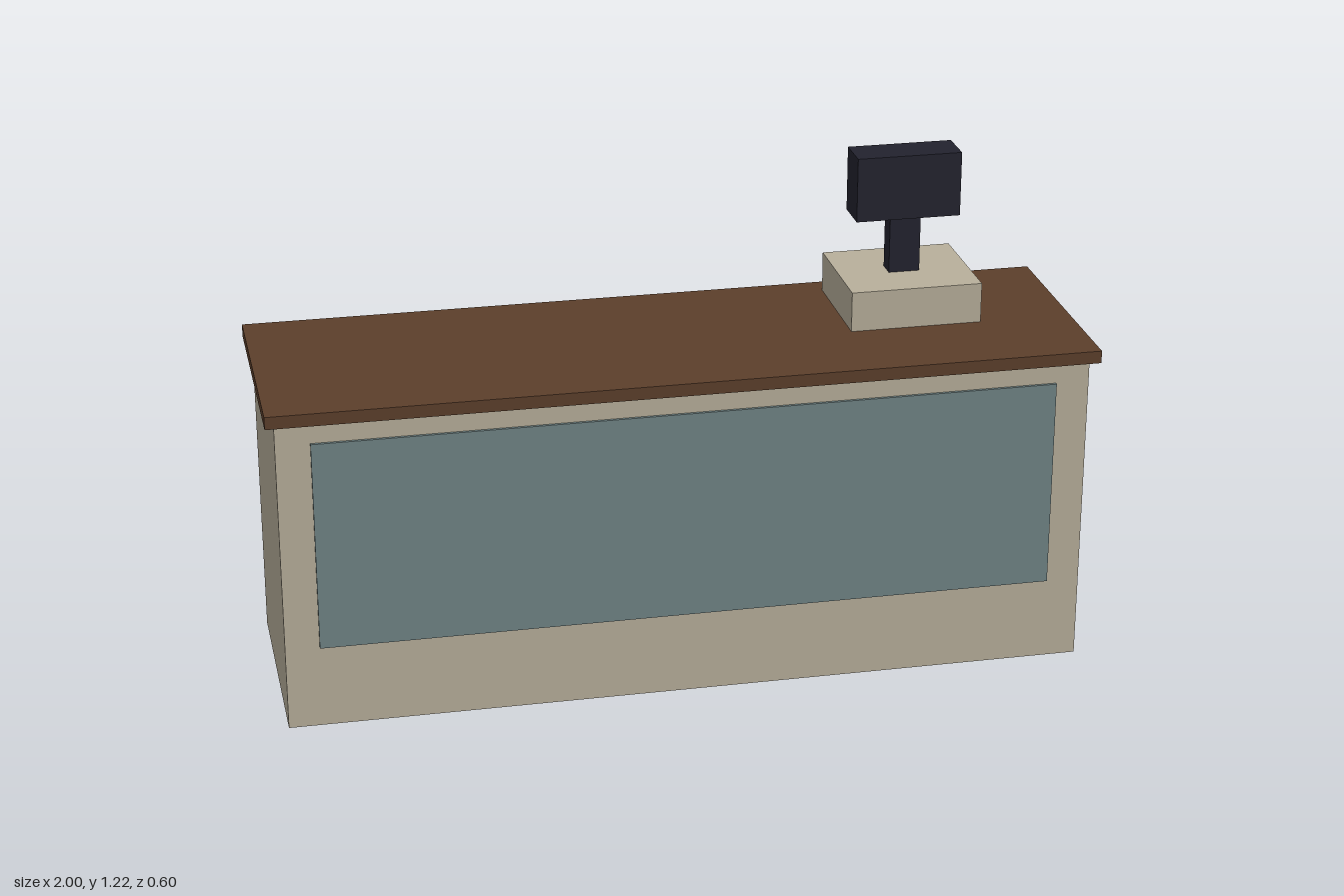
import * as THREE from 'three';

const mat = (name, color) => {
  const m = new THREE.MeshStandardMaterial({ color });
  m.name = name;
  return m;
};

export function createModel() {
  const cream = mat('cream', 0xb8af9b);
  const brown = mat('brown wood', 0x5c3f2b);
  const glass = mat('grey blue', 0x708486);
  const navy = mat('navy black', 0x22222e);
  const screenBlue = mat('screen blue', 0x50627a);
  const gold = mat('gold', 0xb08a3c);

  const root = new THREE.Group();
  root.name = 'shopCounter';

  // Box given by its lower and upper corners
  const box = (parent, name, material, [x0, y0, z0], [x1, y1, z1]) => {
    const mesh = new THREE.Mesh(new THREE.BoxGeometry(x1 - x0, y1 - y0, z1 - z0), material);
    mesh.position.set((x0 + x1) / 2, (y0 + y1) / 2, (z0 + z1) / 2);
    mesh.name = name;
    parent.add(mesh);
    return mesh;
  };
  const group = (name) => {
    const g = new THREE.Group();
    g.name = name;
    root.add(g);
    return g;
  };

  // Hollow cabinet, open underneath
  const cabinet = group('cabinet');
  box(cabinet, 'frontPanel', cream, [-0.978, 0, 0.273], [0.978, 0.785, 0.278]);
  box(cabinet, 'leftPanel', cream, [0.973, 0, -0.288], [0.978, 0.785, 0.273]);
  box(cabinet, 'rightPanel', cream, [-0.978, 0, -0.288], [-0.973, 0.785, 0.273]);
  box(cabinet, 'backPanel', brown, [-0.978, 0, -0.291], [0.978, 0.785, -0.288]);
  box(cabinet, 'frontWindow', glass, [-0.896, 0.207, 0.277], [0.896, 0.732, 0.285]);
  box(cabinet, 'worktop', brown, [-1, 0.784, -0.292], [1, 0.815, 0.3]);

  // Shelf whose rear edge shows through the back panel
  const shelf = group('shelf');
  box(shelf, 'shelfBoard', brown, [-0.935, 0.287, -0.3], [0.935, 0.303, 0.273]);
  box(shelf, 'shelfUnderside', navy, [-0.935, 0.284, -0.287], [0.935, 0.287, 0.273]);

  // Repeating painted pattern below the shelf
  const tag = (name, m, x, z, w, d) =>
    box(shelf, name, m, [x - w / 2, 0.282, z - d / 2], [x + w / 2, 0.284, z + d / 2]);
  for (let i = 0; i < 5; i++) {
    const x = 0.875 - i * 0.39;
    for (const z of [0.17, -0.11]) {
      tag('goldMark', gold, x, z, 0.035, 0.04);
      tag('brownMark', brown, x + 0.05, z + 0.02, 0.025, 0.03);
      if (i < 4) {
        tag('greyMark', glass, x - 0.08, z, 0.06, 0.15);
        tag('blueMark', screenBlue, x - 0.2, z - 0.02, 0.05, 0.1);
        tag('greyMark', glass, x - 0.3, z, 0.07, 0.13);
      }
    }
  }

  // Cash register: base, stand and display
  const register = group('cashRegister');
  box(register, 'registerBase', cream, [0.445, 0.815, -0.234], [0.771, 0.915, 0.056]);
  box(register, 'displayStand', navy, [0.569, 0.915, -0.112], [0.646, 1.06, -0.064]);
  box(register, 'displayCase', navy, [0.478, 1.06, -0.138], [0.738, 1.221, -0.04]);

  // Screen on the clerk's side
  box(register, 'screen', screenBlue, [0.484, 1.065, -0.14], [0.732, 1.215, -0.137]);
  box(register, 'screenHeader', cream, [0.502, 1.172, -0.142], [0.712, 1.207, -0.139]);

  // Painted rear of the base: keys, drawer front and latch
  box(register, 'keyPanel', glass, [0.449, 0.82, -0.236], [0.767, 0.911, -0.233]);
  box(register, 'drawerFront', cream, [0.49, 0.824, -0.238], [0.735, 0.863, -0.235]);
  for (const x of [0.69, 0.61, 0.53]) {
    box(register, 'key', navy, [x - 0.018, 0.876, -0.238], [x + 0.018, 0.893, -0.235]);
  }
  box(register, 'latch', gold, [0.453, 0.828, -0.238], [0.478, 0.858, -0.235]);

  return root;
}
